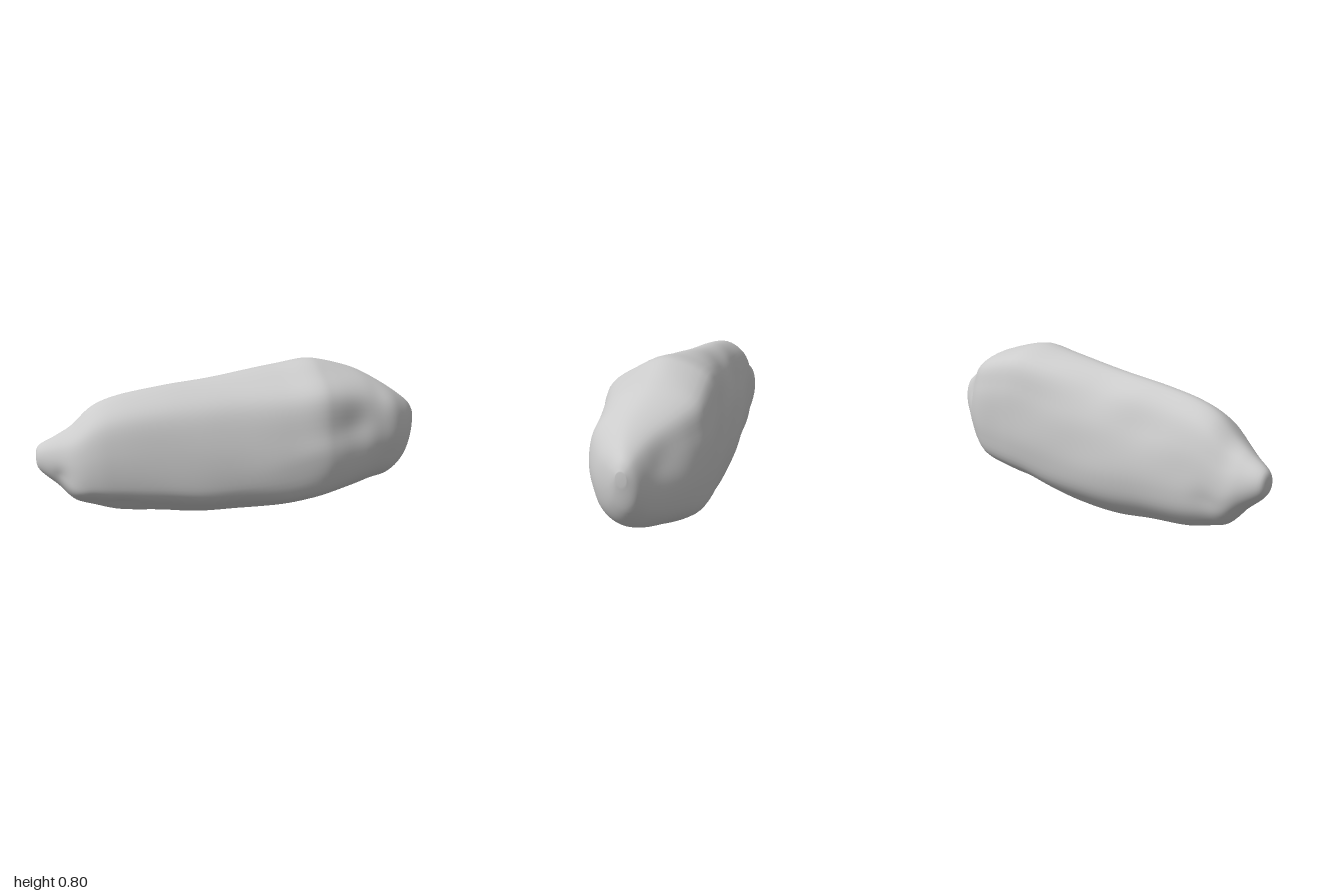
import * as THREE from 'three';

// Stations along the length: x, bottom y, top y, back z, front z
const stations = [
  [-1.0, 0.34, 0.36, -0.06, -0.04],
  [-0.985, 0.29, 0.41, -0.105, 0.0],
  [-0.9, 0.21, 0.46, -0.14, 0.07],
  [-0.82, 0.125, 0.51, -0.157, 0.138],
  [-0.72, 0.09, 0.6, -0.17, 0.173],
  [-0.6, 0.058, 0.65, -0.18, 0.192],
  [-0.4, 0.035, 0.687, -0.2, 0.215],
  [-0.2, 0.005, 0.714, -0.225, 0.24],
  [0.0, 0.004, 0.738, -0.245, 0.258],
  [0.2, 0.016, 0.77, -0.265, 0.282],
  [0.36, 0.05, 0.797, -0.283, 0.3],
  [0.46, 0.066, 0.788, -0.293, 0.285],
  [0.62, 0.1, 0.745, -0.303, 0.242],
  [0.72, 0.13, 0.7, -0.27, 0.205],
  [0.82, 0.16, 0.64, -0.21, 0.172],
  [0.91, 0.22, 0.58, -0.155, 0.1],
  [0.975, 0.31, 0.53, -0.115, 0.015],
  [1.0, 0.43, 0.49, -0.075, -0.03],
];

// Unit cross-sections (z, y), from the top crest over the front and round
const slabSection = [
  [-0.2, 1], [0.28, 0.9], [0.73, 0.64], [0.94, 0.18], [1, -0.3], [0.9, -0.58], [0.48, -0.78],
  [-0.1, -0.97], [-0.43, -1], [-0.84, -0.72], [-0.99, -0.38], [-0.99, 0], [-0.9, 0.4], [-0.66, 0.8],
];
const shoulderSection = [
  [-0.13, 1], [0.42, 0.82], [0.83, 0.57], [0.95, 0.13], [1, -0.2], [0.88, -0.68], [0.42, -0.9],
  [0, -1], [-0.36, -0.98], [-0.84, -0.75], [-0.98, -0.38], [-1, 0.05], [-0.95, 0.45], [-0.78, 0.83],
];
const roundSection = slabSection.map((_, i) => {
  const a = (i / slabSection.length) * Math.PI * 2;
  return [Math.sin(a), Math.cos(a)];
});

// Hollows (positive depth) and lumps (negative): x, y, z, radius, depth
const dents = [
  [0.58, 0.5, 0.25, 0.12, 0.025],
  [0.45, 0.32, 0.28, 0.1, -0.01],
  [0.78, 0.56, 0.14, 0.09, -0.012],
  [0.85, 0.5, -0.18, 0.08, 0.014],
  [0.8, 0.3, 0.16, 0.09, 0.01],
  [-0.88, 0.27, 0.08, 0.06, 0.02],
  [-0.6, 0.1, 0.15, 0.07, 0.015],
  [-0.15, 0.68, -0.2, 0.13, 0.02],
  [-0.4, 0.56, -0.18, 0.16, 0.016],
  [-0.75, 0.22, -0.16, 0.08, 0.015],
];

// Smooth curve through four neighbouring values
function cubic(a, b, c, d, t) {
  return b + 0.5 * t * (c - a + t * (2 * a - 5 * b + 4 * c - d + t * (3 * (b - c) + d - a)));
}

function stationAt(t) {
  const last = stations.length - 1;
  const k = Math.min(Math.floor(t), last - 1);
  const pick = (i) => stations[Math.max(0, Math.min(last, i))];
  return stations[0].map((_, c) =>
    cubic(pick(k - 1)[c], pick(k)[c], pick(k + 1)[c], pick(k + 2)[c], t - k));
}

function sectionAt(section, t) {
  const n = section.length;
  const k = Math.floor(t);
  const pick = (i) => section[(i + n) % n];
  return [0, 1].map((c) =>
    cubic(pick(k - 1)[c], pick(k)[c], pick(k + 1)[c], pick(k + 2)[c], t - k));
}

function buildRock(rings, sides) {
  const { lerp, smoothstep } = THREE.MathUtils;
  const positions = [];
  const indices = [];
  const p = new THREE.Vector3();
  const axis = new THREE.Vector3();
  for (let i = 0; i <= rings; i++) {
    const [x, y0, y1, z0, z1] = stationAt((i / rings) * (stations.length - 1));
    const cy = (y0 + y1) / 2;
    const cz = (z0 + z1) / 2;
    const shoulder = smoothstep(x, -0.1, 0.4);
    for (let j = 0; j < sides; j++) {
      const s = (j / sides) * slabSection.length;
      const a = sectionAt(slabSection, s);
      const b = sectionAt(shoulderSection, s);
      const c = sectionAt(roundSection, s);
      // The broad end rounds off sooner on its front than on its back
      const start = lerp(0.62, 0.4, smoothstep(c[0], -0.5, 0.5));
      const round = 0.85 * Math.max(smoothstep(x, start, start + 0.36), smoothstep(-x, 0.76, 0.98));
      const [u, v] = [0, 1].map((k) => lerp(lerp(a[k], b[k], shoulder), c[k], round));
      p.set(x, cy + v * (y1 - y0) / 2, cz + u * (z1 - z0) / 2);
      axis.set(x, cy, cz).sub(p);
      const reach = axis.length();
      axis.normalize();
      // Gentle surface unevenness plus the placed hollows and lumps
      let push = 0.003 * Math.sin(9 * p.x + 5 * p.y) * Math.sin(11 * p.y + 7 * p.z + 2 * p.x);
      for (const [dx, dy, dz, r, depth] of dents) {
        const d2 = (p.x - dx) ** 2 + (p.y - dy) ** 2 + (p.z - dz) ** 2;
        push += depth * Math.exp(-d2 / (r * r));
      }
      p.addScaledVector(axis, push * Math.min(1, reach / 0.12));
      positions.push(p.x, Math.max(0, p.y), p.z);
      if (i < rings) {
        const q = i * sides + j;
        const r = i * sides + ((j + 1) % sides);
        indices.push(q, r, q + sides, r, r + sides, q + sides);
      }
    }
  }
  // Close both tips
  for (const [ring, flip] of [[0, false], [rings, true]]) {
    const [x, y0, y1, z0, z1] = stations[flip ? stations.length - 1 : 0];
    const tip = positions.length / 3;
    positions.push(x, (y0 + y1) / 2, (z0 + z1) / 2);
    for (let j = 0; j < sides; j++) {
      const q = ring * sides + j;
      const r = ring * sides + ((j + 1) % sides);
      if (flip) indices.push(tip, q, r);
      else indices.push(tip, r, q);
    }
  }
  const geometry = new THREE.BufferGeometry();
  geometry.setAttribute('position', new THREE.Float32BufferAttribute(positions, 3));
  geometry.setIndex(indices);
  geometry.computeVertexNormals();
  return geometry;
}

export function createModel() {
  const group = new THREE.Group();
  group.name = 'rock';
  const rock = new THREE.Mesh(
    buildRock(102, 70), new THREE.MeshStandardMaterial({ color: 0xcccccc }));
  rock.name = 'boulder';
  group.add(rock);
  return group;
}
